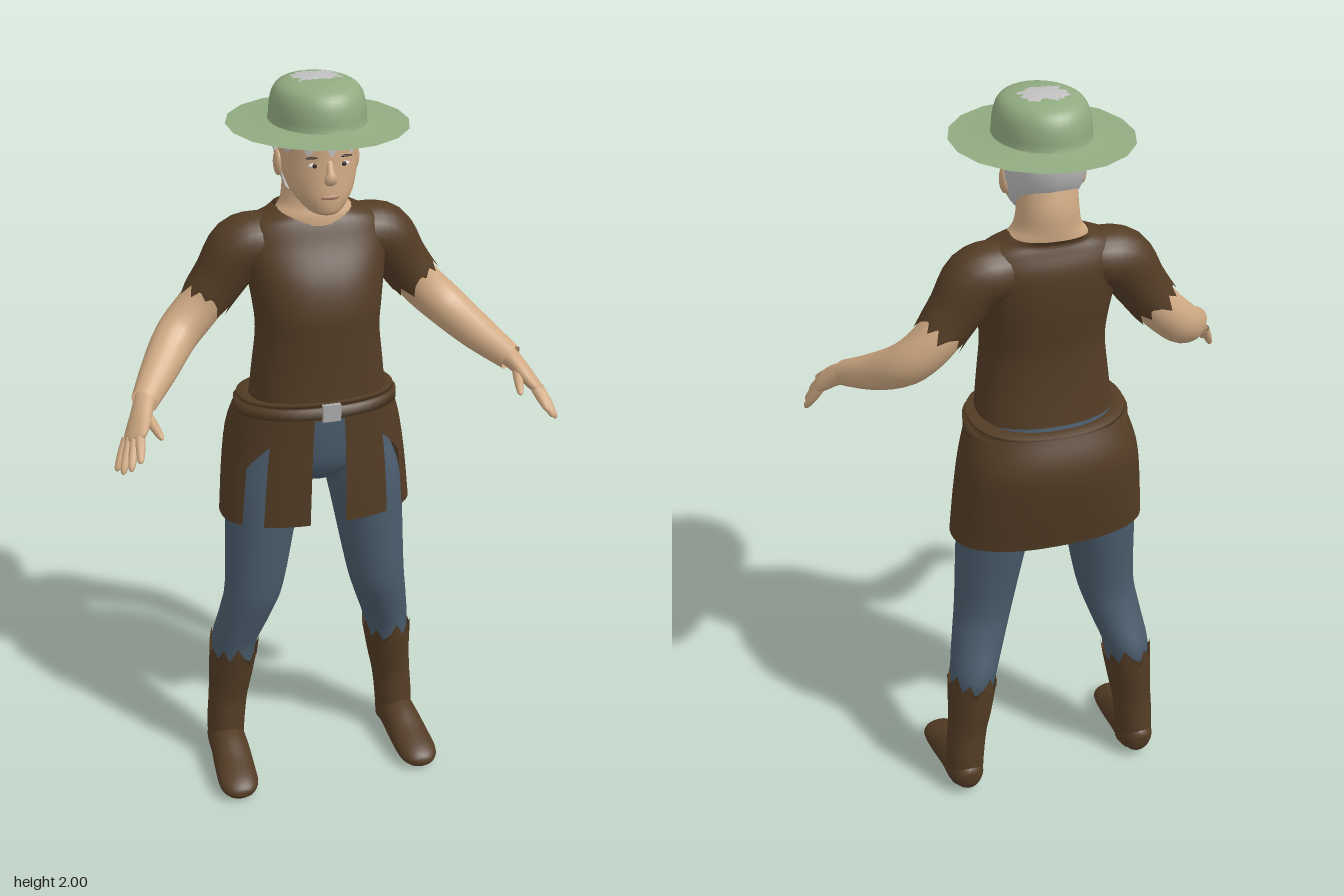
import * as THREE from 'three';

const mat = (name, color, side = THREE.DoubleSide) => new THREE.MeshStandardMaterial({ name, color, side });
const V = (x, y, z) => new THREE.Vector3(x, y, z);
const TAU = Math.PI * 2;

// Catmull-Rom interpolation of rows of numbers
function smooth(rows, k = 4) {
  const out = [], n = rows.length;
  for (let i = 0; i < n - 1; i++) {
    const [a, b, c, d] = [rows[Math.max(i - 1, 0)], rows[i], rows[i + 1], rows[Math.min(i + 2, n - 1)]];
    for (let s = 0; s < k; s++) {
      const t = s / k;
      out.push(b.map((_, j) => b[j] + 0.5 * t * (c[j] - a[j]
        + t * (2 * a[j] - 5 * b[j] + 4 * c[j] - d[j] + t * (3 * (b[j] - c[j]) + d[j] - a[j])))));
    }
  }
  out.push(rows[n - 1]);
  return out;
}

// Skin a surface over rings of points
function skin(rings, closed = true) {
  const n = rings[0].length, pos = [], idx = [];
  rings.forEach(r => r.forEach(p => pos.push(p.x, p.y, p.z)));
  for (let i = 0; i < rings.length - 1; i++) {
    for (let j = 0; j < (closed ? n : n - 1); j++) {
      const k = (j + 1) % n, a = i * n + j, b = i * n + k, c = a + n, d = b + n;
      idx.push(a, b, d, a, d, c);
    }
  }
  const g = new THREE.BufferGeometry();
  g.setAttribute('position', new THREE.Float32BufferAttribute(pos, 3));
  g.setIndex(idx);
  g.computeVertexNormals();
  return g;
}

// Point on a horizontal section [y, cx, cz, rx, rz]; p < 1 is boxier
function at([y, cx, cz, rx, rz], a, p = 1) {
  const s = Math.sin(a), c = Math.cos(a);
  return V(cx + rx * Math.sign(s) * Math.abs(s) ** p, y, cz + rz * Math.sign(c) * Math.abs(c) ** p);
}
const angles = (n, a0 = 0, a1 = TAU, open = false) =>
  Array.from({ length: n }, (_, i) => a0 + (a1 - a0) * i / (open ? n - 1 : n));
const stack = (rows, p = 1, n = 28, k = 4) => skin(smooth(rows, k).map(r => angles(n).map(a => at(r, a, p))));

// Limb along rows [x, y, z, width, thickness]; jag cuts a ragged last edge
function sweep(rows, ref, n = 18, jag = 0, k = 4) {
  const rs = smooth(rows, k), c = rs.map(r => V(r[0], r[1], r[2]));
  return skin(rs.map((r, i) => {
    const T = c[Math.min(i + 1, c.length - 1)].clone().sub(c[Math.max(i - 1, 0)]).normalize();
    const N = ref.clone().addScaledVector(T, -ref.dot(T)).normalize(), B = T.clone().cross(N);
    return angles(n).map((a, j) => c[i].clone().addScaledVector(N, Math.cos(a) * r[3])
      .addScaledVector(B, Math.sin(a) * r[4])
      .addScaledVector(T, i === rs.length - 1 ? jag * ((j * 7) % 5 - 2) / 2 : 0));
  }));
}

function mirrored(g) {
  const m = g.clone().scale(-1, 1, 1), ix = m.index.array;
  for (let i = 0; i < ix.length; i += 3) [ix[i], ix[i + 1]] = [ix[i + 1], ix[i]];
  return m;
}

const ball = (x, y, z, rx, ry, rz) => new THREE.SphereGeometry(1, 16, 12).scale(rx, ry, rz).translate(x, y, z);

export function createModel() {
  const model = new THREE.Group();
  model.name = 'figure';
  const skinTone = mat('skin', 0xd0aa84), brown = mat('brown cloth', 0x533c25), denim = mat('blue cloth', 0x4a5c6c);
  const green = mat('hat green', 0x91ab81), grey = mat('hair grey', 0xc0c0c0), metal = mat('buckle metal', 0xaaaaaa);
  const dark = mat('eye dark', 0x3a2a20), white = mat('eye white', 0xe6e2dc), lip = mat('lip', 0xb5806a);
  const add = (name, g, m) => {
    const mesh = new THREE.Mesh(g, m);
    mesh.name = name;
    model.add(mesh);
  };
  const pair = (name, g, m) => { add(name + 'Left', g, m); add(name + 'Right', mirrored(g), m); };

  // Shirt and neck
  add('shirtBody', stack([[1.13, 0, -.035, .185, .125], [1.25, 0, -.03, .172, .12], [1.35, 0, -.028, .161, .122],
    [1.42, 0, -.032, .166, .127], [1.5, 0, -.047, .178, .122], [1.58, 0, -.067, .19, .103],
    [1.63, 0, -.07, .17, .085], [1.652, 0, -.073, .125, .075], [1.665, 0, -.085, .098, .07]], .85, 36), brown);
  add('neck', stack([[1.6, 0, -.06, .11, .075], [1.65, 0, -.062, .105, .076], [1.68, 0, -.067, .085, .074],
    [1.73, 0, -.07, .077, .073], [1.79, 0, -.06, .075, .07]]), skinTone);

  // Sleeves, arms and hands
  const fwd = V(0, 0, 1);
  pair('sleeve', sweep([[.07, 1.575, -.075, .07, .07], [.13, 1.575, -.077, .082, .076], [.19, 1.56, -.08, .08, .08],
    [.24, 1.49, -.082, .068, .07], [.278, 1.437, -.083, .064, .066]], fwd, 22, .025), brown);
  pair('arm', sweep([[.2, 1.535, -.08, .055, .058], [.25, 1.47, -.082, .057, .058], [.305, 1.405, -.083, .057, .058],
    [.365, 1.348, -.058, .055, .056], [.425, 1.297, .02, .047, .048], [.484, 1.256, .112, .033, .035]], fwd, 20), skinTone);
  const across = V(.6, -.5, -.6);
  pair('palm', sweep([[.478, 1.26, .1, .03, .027], [.495, 1.243, .135, .034, .022], [.515, 1.215, .175, .04, .018],
    [.53, 1.197, .2, .034, .012], [.533, 1.193, .206, .001, .001]], across, 14), skinTone);
  const fingers = [[.512, 1.217, .195, .528, 1.168, .272], [.524, 1.206, .195, .55, 1.142, .257],
    [.535, 1.196, .185, .567, 1.127, .237], [.542, 1.19, .17, .577, 1.122, .205], [.488, 1.24, .145, .465, 1.206, .235]];
  fingers.forEach(([x, y, z, u, v, w], i) => {
    const P = (t, r) => [x + (u - x) * t, y + (v - y) * t, z + (w - z) * t, r, r];
    pair(i < 4 ? 'finger' + (i + 1) : 'thumb',
      sweep([P(0, .013), P(.5, .012), P(.9, .008), P(1, .001)], V(1, .2, 0), 10, 0, 3), skinTone);
  });

  // Trousers
  add('trouserSeat', stack([[.905, 0, -.06, .002, .03], [.925, 0, -.06, .07, .075], [.98, 0, -.06, .155, .115],
    [1.07, 0, -.055, .19, .125], [1.16, 0, -.045, .18, .12]], .9), denim);
  pair('trouserLeg', stack([[.33, .228, -.1, .055, .066], [.4, .222, -.1, .063, .078], [.5, .196, -.07, .073, .078],
    [.6, .174, -.052, .081, .083], [.82, .148, -.061, .098, .105], [.93, .128, -.06, .102, .108],
    [1.04, .1, -.055, .085, .1]]), denim);

  // Boots with ragged tops
  const legAxis = V(1, 0, 0);
  pair('bootShaft', sweep([[.255, .04, -.105, .05, .055], [.254, .11, -.105, .053, .06], [.246, .2, -.106, .055, .056],
    [.236, .28, -.105, .061, .068], [.226, .375, -.1, .068, .081]], legAxis, 22, .03), brown);
  pair('bootFoot', sweep([[.255, .045, -.167, .001, .001], [.255, .048, -.158, .03, .036], [.256, .06, -.125, .049, .058],
    [.258, .06, -.05, .053, .058], [.262, .045, .03, .056, .043], [.266, .034, .1, .054, .031],
    [.268, .026, .135, .034, .018], [.268, .024, .145, .001, .001]], legAxis, 20), brown);

  // Skirt: two front flaps and a back wrap with a slit over each thigh
  const skirt = smooth([[.82, 0, -.06, .262, .14], [.95, 0, -.07, .25, .157], [1.06, 0, -.075, .234, .165],
    [1.15, 0, -.058, .207, .152]], 6);
  const slit = y => .64 + .33 * THREE.MathUtils.clamp((1.06 - y) / .07, 0, 1);
  add('skirtWrap', skin(skirt.map(r => angles(48, slit(r[0]), TAU - slit(r[0]), true).map(a => at(r, a, .85))), false), brown);
  pair('skirtFlap', skin(skirt.map(r => angles(8, .14, .65, true).map(a => at(r, a, .85))), false), brown);

  // Belt bands, slightly lower at the back
  const band = (y0, y1, rx, rz) => skin([[y0, rx - .03, rz - .03], [y0, rx, rz], [y1, rx, rz], [y1, rx - .035, rz - .03],
    [y0, rx - .03, rz - .03]].map(([y, u, w]) => angles(40).map(a => {
    const p = at([y, 0, -.055, u, w], a, .9);
    p.y += p.z * .1;
    return p;
  })));
  add('beltLower', band(1.13, 1.158, .217, .158), brown);
  add('beltUpper', band(1.163, 1.174, .208, .153), brown);
  add('buckle', new THREE.BoxGeometry(.048, .046, .012).translate(0, 1.158, .105), metal);

  // Head
  const head = smooth([[1.675, 0, .04, .012, .02], [1.682, 0, .038, .036, .043], [1.7, 0, .025, .056, .063],
    [1.73, 0, .005, .078, .085], [1.77, 0, -.014, .092, .102], [1.81, 0, -.025, .097, .111], [1.86, 0, -.03, .1, .115],
    [1.91, 0, -.03, .098, .113], [1.95, 0, -.03, .085, .095], [1.975, 0, -.03, .05, .06], [1.98, 0, -.03, .001, .001]], 5);
  add('head', skin(head.map(r => angles(32).map(a => at(r, a)))), skinTone);
  add('nose', sweep([[0, 1.825, .076, .008, .006], [0, 1.795, .088, .01, .01], [0, 1.775, .092, .016, .013],
    [0, 1.762, .085, .012, .008], [0, 1.758, .083, .001, .001]], V(1, 0, 0), 12), skinTone);
  pair('ear', ball(.098, 1.79, -.035, .012, .034, .021), skinTone);
  pair('eyeWhite', ball(.037, 1.808, .076, .015, .006, .005), white);
  pair('iris', ball(.037, 1.808, .0795, .006, .006, .003), dark);
  pair('eyebrow', ball(.039, 1.827, .076, .02, .003, .005), dark);
  add('lips', ball(0, 1.728, .086, .024, .007, .006), lip);

  // Hair: fringe in front, long at the nape, ragged lower edge
  const headAt = y => {
    const i = Math.max(1, head.findIndex(r => r[0] >= y)), a = head[i - 1], b = head[i];
    const t = (y - a[0]) / (b[0] - a[0]);
    return a.map((v, j) => v + (b[j] - v) * t);
  };
  const hairEdge = (a, j) => {
    const back = Math.abs(a > Math.PI ? TAU - a : a);
    const nape = THREE.MathUtils.smoothstep(back, 1.75, 2.0);
    return 1.848 - .125 * nape + (1 - .75 * nape) * .012 * ((j * 5) % 4 - 1.5);
  };
  add('hair', skin(Array.from({ length: 10 }, (_, i) => angles(48).map((a, j) => {
    const low = hairEdge(a, j), r = headAt(low + (1.965 - low) * i / 9);
    return at([r[0], r[1], r[2], r[3] + .011, r[4] + .008], a);
  }))), grey);

  // Hat: domed crown, flat polygonal brim and a ragged grey patch on top
  const dome = smooth([[1.889, 1.03], [1.905, 1], [1.93, .985], [1.96, .93], [1.982, .8], [1.993, .55], [1.997, .3], [1.998, .002]], 3);
  add('hatCrown', skin(dome.map(([y, f]) => angles(32).map(a => at([y, 0, -.025, .119 * f, .145 * f], a)))), green);
  add('hatBrim', skin([[1.887, 0, -.026, .225, .251], [1.889, 0, -.026, .17, .195], [1.896, 0, -.025, .117, .143]]
    .map(r => angles(18).map(a => at(r, a)))), green);
  add('hatPatch', skin([[1.9945, 1], [1.9985, .6], [2, .01]].map(([y, f]) => angles(32).map((a, j) => {
    const k = f * (1 + .05 * ((j * 7) % 5 - 2));
    return at([y, 0, -.036, .058 * k, .055 * k], a, .75);
  }))), grey);

  return model;
}
